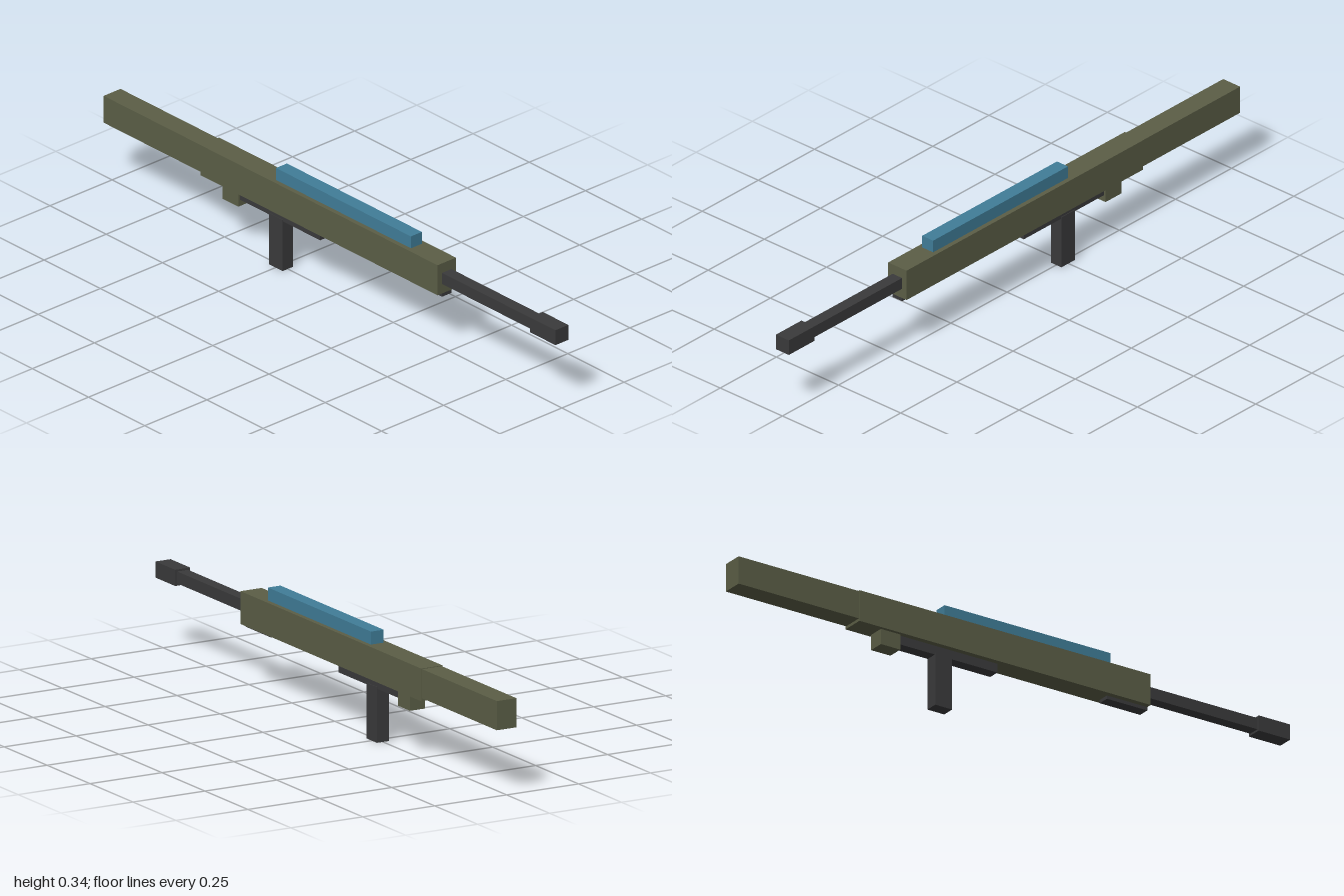
import * as THREE from 'three';

const material = (name, color) => {
  const m = new THREE.MeshStandardMaterial({ color });
  m.name = name;
  return m;
};

export function createModel() {
  const olive = material('olive', 0x5b5e46);
  const dark = material('darkMetal', 0x3a3a3b);
  const blue = material('blue', 0x407d98);

  const model = new THREE.Group();
  model.name = 'blockRifle';

  // A box from its x range, y range and half depth, centred on z = 0
  const block = (name, mat, x0, x1, y0, y1, halfDepth) => {
    const mesh = new THREE.Mesh(new THREE.BoxGeometry(x1 - x0, y1 - y0, 2 * halfDepth), mat);
    mesh.position.set((x0 + x1) / 2, (y0 + y1) / 2, 0);
    mesh.name = name;
    model.add(mesh);
  };

  // Body
  block('stock', olive, -1, -0.565, 0.204, 0.294, 0.034);
  block('receiver', olive, -0.565, 0.488, 0.195, 0.296, 0.037);
  block('rearLug', olive, -0.48, -0.41, 0.145, 0.195, 0.026);

  // Barrel and muzzle
  block('barrel', dark, 0.488, 0.886, 0.227, 0.264, 0.019);
  block('muzzle', dark, 0.886, 1, 0.22, 0.27, 0.026);

  // Underside fittings
  block('foreEndPlate', dark, 0.342, 0.488, 0.184, 0.195, 0.019);
  block('gripPlate', dark, -0.41, -0.054, 0.166, 0.195, 0.019);
  block('grip', dark, -0.28, -0.219, 0, 0.172, 0.021);

  // Top rail
  block('topRail', blue, -0.247, 0.353, 0.296, 0.336, 0.022);

  return model;
}
